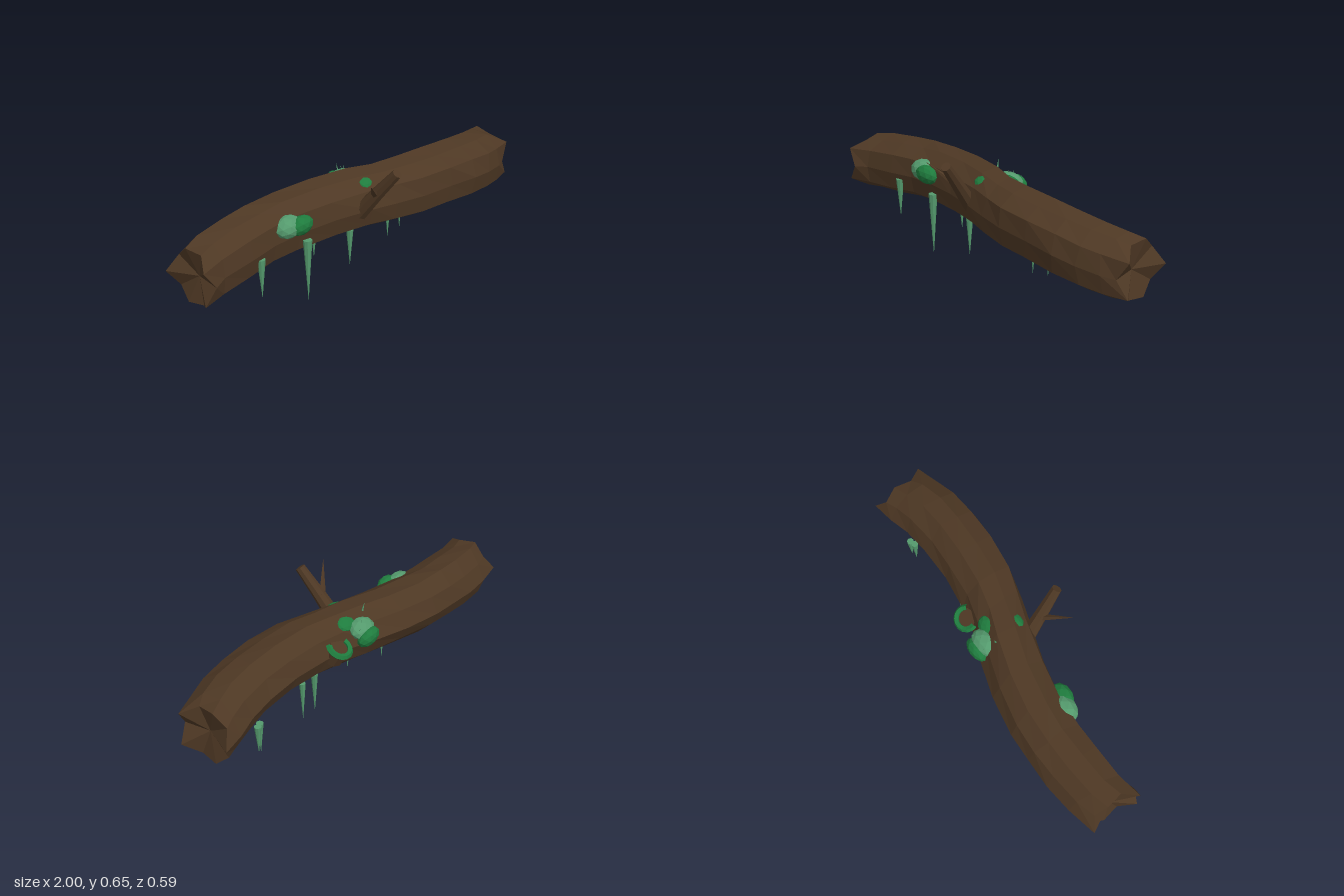
import * as THREE from 'three';

const V = (x, y, z) => new THREE.Vector3(x, y, z);
const UP = V(0, 1, 0);

function seeded(seed) {
  return () => ((seed = (seed * 16807) % 2147483647) / 2147483647);
}

// Ten-sided log swept along a bent centreline, with jagged, hollowed ends
function logGeometry() {
  const sides = 10;
  const rnd = seeded(77);
  // x, centre y, centre z, radius
  const rings = [
    [-0.97, 0.335, -0.105, 0.145], [-0.86, 0.345, -0.13, 0.15], [-0.7, 0.358, -0.142, 0.158],
    [-0.55, 0.37, -0.142, 0.153], [-0.4, 0.38, -0.13, 0.152], [-0.2, 0.39, -0.085, 0.153],
    [0, 0.397, -0.02, 0.155], [0.13, 0.397, 0.03, 0.155], [0.27, 0.395, 0.07, 0.155],
    [0.45, 0.39, 0.095, 0.157], [0.62, 0.38, 0.104, 0.16], [0.77, 0.362, 0.1, 0.162],
    [0.88, 0.345, 0.075, 0.158], [0.97, 0.335, 0.05, 0.15],
  ];
  const pos = [], index = [], last = rings.length - 1;
  rings.forEach(([x, cy, cz, r], i) => {
    const end = i === 0 ? -1 : i === last ? 1 : 0;
    for (let j = 0; j < sides; j++) {
      const a = (j / sides) * Math.PI * 2;
      const tip = j % 2 === 1; // splinter tips sit on alternate corners
      const rr = r * (tip ? 1.01 : 0.94) * (end ? 1 : 0.97 + rnd() * 0.07);
      let px = x + (end ? 0 : (rnd() - 0.5) * 0.03);
      if (end) px = end * (tip ? (Math.abs(Math.sin(a)) > 0.8 ? 0.96 : 1) : 0.945);
      pos.push(px, cy + rr * Math.sin(a), cz + rr * Math.cos(a));
      if (i < last) {
        const p = i * sides + j, q = i * sides + ((j + 1) % sides);
        index.push(p, p + sides, q, q, p + sides, q + sides);
      }
    }
  });
  // end fans
  const c = pos.length / 3;
  pos.push(-0.925, 0.335, -0.105, 0.925, 0.335, 0.055);
  for (let j = 0; j < sides; j++) {
    const k = (j + 1) % sides, o = last * sides;
    index.push(c, j, k, c + 1, o + k, o + j);
  }
  const g = new THREE.BufferGeometry();
  g.setAttribute('position', new THREE.Float32BufferAttribute(pos, 3));
  g.setIndex(index);
  g.computeVertexNormals();
  return g;
}

export function createModel() {
  const group = new THREE.Group();
  const mat = (name, color) => {
    const m = new THREE.MeshStandardMaterial({ color, flatShading: true });
    m.name = name;
    return m;
  };
  const bark = mat('bark brown', 0x4e3824);
  const moss = mat('moss green', 0x1f7c3e);
  const pale = mat('pale green', 0x549a6d);

  const add = (name, geo, material) => {
    const m = new THREE.Mesh(geo, material);
    m.name = name;
    group.add(m);
    return m;
  };
  // tapered rod from a to b
  const rod = (name, a, b, ra, rb, sides, material) => {
    const d = b.clone().sub(a);
    const m = add(name, new THREE.CylinderGeometry(rb, ra, d.length(), sides), material);
    m.position.copy(a).addScaledVector(d, 0.5);
    m.quaternion.setFromUnitVectors(UP, d.normalize());
    return m;
  };

  add('log', logGeometry(), bark);

  // Broken branch with a side twig
  rod('branchBase', V(-0.05, 0.35, 0.05), V(-0.03, 0.51, 0.172), 0.043, 0.033, 8, bark);
  rod('branchTop', V(-0.03, 0.51, 0.172), V(-0.011, 0.64, 0.275), 0.033, 0.025, 8, bark);
  rod('twig', V(-0.03, 0.49, 0.155), V(-0.165, 0.615, 0.25), 0.02, 0.001, 5, bark);

  // Cut stump on the back, with a curl of moss round its rim
  const stump = new THREE.Group();
  stump.name = 'stump';
  stump.position.set(0.19, 0.44, -0.115);
  stump.quaternion.setFromUnitVectors(UP, V(0, 0.88, -0.48).normalize());
  const wood = new THREE.Mesh(new THREE.CylinderGeometry(0.05, 0.052, 0.09, 8), bark);
  wood.name = 'stumpWood';
  wood.position.y = -0.045;
  const curl = new THREE.Mesh(new THREE.TorusGeometry(0.054, 0.016, 5, 10, Math.PI * 1.3), moss);
  curl.name = 'mossCurl';
  curl.rotation.set(-Math.PI / 2, 0, -0.75);
  stump.add(wood, curl);
  group.add(stump);

  // Moss clumps: position, radii, tilt about x, colour
  [
    [[-0.455, 0.432, -0.01], [0.078, 0.055, 0.058], 0.5, pale],
    [[-0.4, 0.428, 0.02], [0.07, 0.053, 0.045], 0.5, moss],
    [[0.03, 0.47, -0.13], [0.075, 0.042, 0.058], -0.55, pale],
    [[0.03, 0.435, -0.168], [0.07, 0.055, 0.04], -0.4, moss],
    [[0.075, 0.5, -0.068], [0.06, 0.024, 0.048], -0.5, moss],
    [[0.022, 0.508, 0.052], [0.053, 0.022, 0.04], 0.5, moss],
  ].forEach(([p, s, tilt, m], i) => {
    const clump = add('mossClump' + (i + 1), new THREE.IcosahedronGeometry(1, 1), m);
    clump.position.set(...p);
    clump.scale.set(...s);
    clump.rotation.x = tilt;
  });

  // Thin blades standing in the moss
  [
    [-0.02, 0.5, -0.088, -0.025, 0.575, -0.104, 0.009],
    [0.04, 0.48, -0.12, 0.045, 0.525, -0.14, 0.003],
    [0.0, 0.48, -0.14, -0.01, 0.505, -0.165, 0.003],
    [0.07, 0.47, -0.14, 0.085, 0.505, -0.16, 0.003],
  ].forEach(([a, b, c, d, e, f, r]) =>
    rod('mossBlade', V(a, b, c), V(d, e, f), r, 0.0005, 4, pale));

  // Hanging spikes: x, z, top y, tip y, radius
  [
    [-0.635, -0.008, 0.335, 0.13, 0.021], [-0.36, 0.022, 0.335, 0.005, 0.023],
    [-0.235, -0.06, 0.28, 0.16, 0.013], [-0.085, 0.04, 0.285, 0.09, 0.018],
    [0.275, -0.028, 0.3, 0.078, 0.018], [0.37, -0.03, 0.3, 0.09, 0.016],
    [0.72, -0.058, 0.3, 0.133, 0.018], [0.745, -0.067, 0.3, 0.15, 0.018],
  ].forEach(([x, z, top, tip, r]) =>
    rod('hangingSpike', V(x, top, z), V(x, tip, z), r, 0.0005, 8, pale));

  return group;
}
